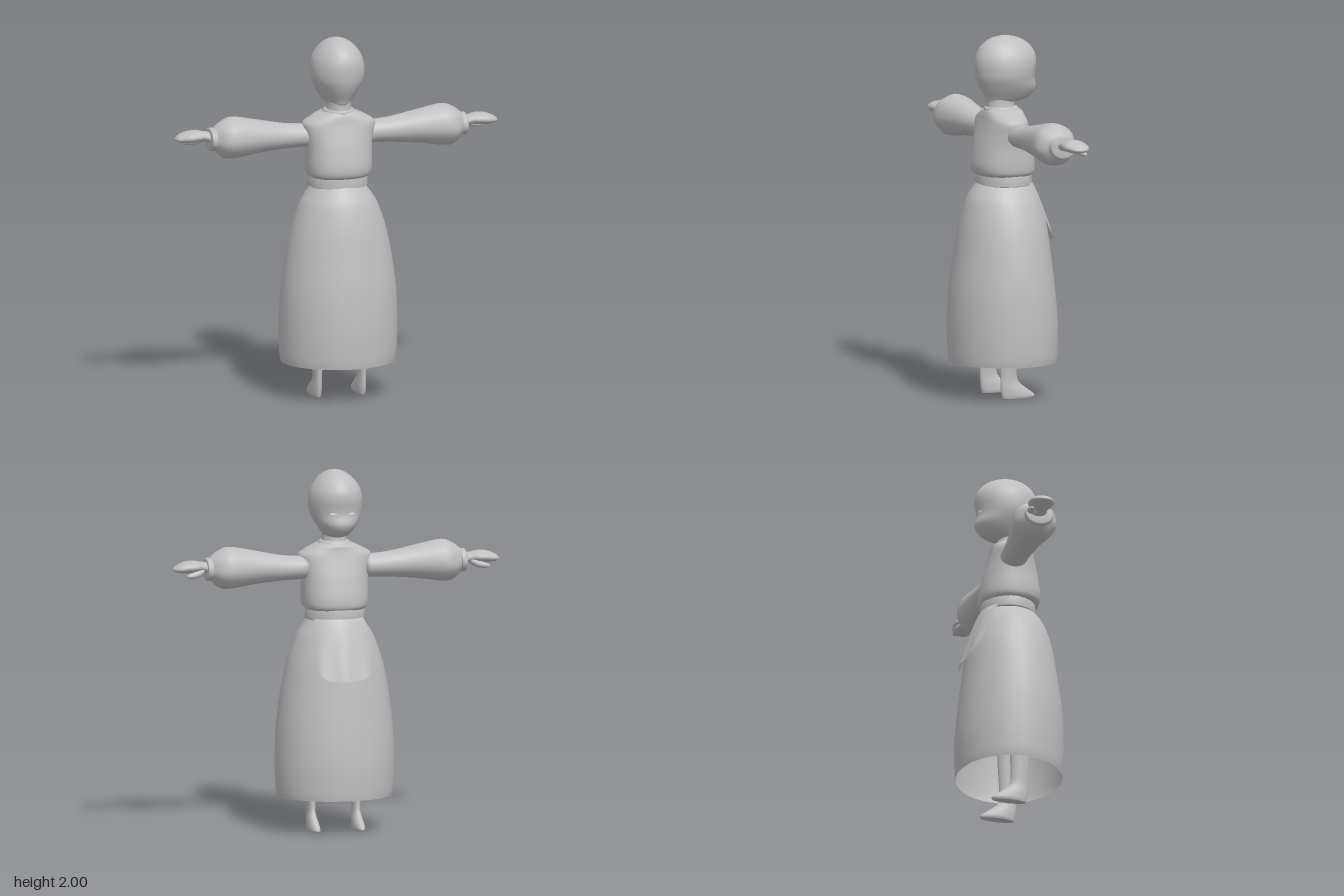
import * as THREE from 'three';

// Double-sided because the skirt and apron are open cloth
const grey = new THREE.MeshStandardMaterial({ color: 0xc0c0c0, side: THREE.DoubleSide });
grey.name = 'plain grey';
const pale = new THREE.MeshStandardMaterial({ color: 0xf0f0f0 });
pale.name = 'pale eye';

// Catmull-Rom blend between cross-section rows
function smoothRows(rows, steps) {
  const out = [];
  for (let i = 0; i < rows.length - 1; i++) {
    const p0 = rows[Math.max(i - 1, 0)], p1 = rows[i], p2 = rows[i + 1];
    const p3 = rows[Math.min(i + 2, rows.length - 1)];
    for (let s = 0; s < steps; s++) {
      const t = s / steps;
      out.push(p1.map((b, k) => {
        const slope = p2[k] - p0[k];
        const quad = 2 * p0[k] - 5 * b + 4 * p2[k] - p3[k];
        const cubic = 3 * b - p0[k] - 3 * p2[k] + p3[k];
        return b + 0.5 * t * (slope + t * (quad + t * cubic));
      }));
    }
  }
  out.push(rows[rows.length - 1]);
  return out;
}

// Loft of oval sections. Row: [position on axis, min, max, zMin, zMax]; min/max is x (axis y) or y (axis x)
function loft(name, axis, rows, { steps = 4, side = 1, power = 2, open = false, folds = 0 } = {}) {
  const n = 32, pos = [], idx = [];
  const rings = smoothRows(rows, steps);
  const put = (t, a, z) => (axis === 'y' ? pos.push(a, t, z) : pos.push(side * t, a, z));
  const curve = v => Math.sign(v) * Math.abs(v) ** (2 / power);
  rings.forEach(([t, a0, a1, z0, z1], i) => {
    const swell = folds * Math.sin(Math.PI * (i / (rings.length - 1)) ** 2);
    for (let j = 0; j < n; j++) {
      const w = j / n * Math.PI * 2, k = 1 + swell * Math.cos(w * 7);
      put(t, (a0 + a1) / 2 + (a1 - a0) / 2 * curve(Math.cos(w)) * k,
        (z0 + z1) / 2 + (z1 - z0) / 2 * curve(Math.sin(w)) * k);
    }
  });
  const flip = (axis === 'y') !== (side < 0);
  const tri = (a, b, c) => (flip ? idx.push(a, c, b) : idx.push(a, b, c));
  for (let i = 0; i < rings.length - 1; i++) {
    for (let j = 0; j < n; j++) {
      const a = i * n + j, b = i * n + (j + 1) % n;
      tri(a, b, a + n);
      tri(b, b + n, a + n);
    }
  }
  if (!open) {
    for (const [i, end] of [[0, false], [rings.length - 1, true]]) {
      const r = rings[i], c = pos.length / 3;
      put(r[0], (r[1] + r[2]) / 2, (r[3] + r[4]) / 2);
      for (let j = 0; j < n; j++) {
        const a = i * n + j, b = i * n + (j + 1) % n;
        if (end) tri(a, b, c); else tri(b, a, c);
      }
    }
  }
  const g = new THREE.BufferGeometry();
  g.setAttribute('position', new THREE.Float32BufferAttribute(pos, 3));
  g.setIndex(idx);
  g.computeVertexNormals();
  const m = new THREE.Mesh(g, grey);
  m.name = name;
  return m;
}

// Row symmetric in x
const sym = rows => rows.map(([y, x, z0, z1]) => [y, -x, x, z0, z1]);

// Apron panel wrapped over the skirt front (the figure faces -z)
function makeApron() {
  const g = new THREE.PlaneGeometry(2, 1, 24, 16), p = g.attributes.position;
  for (let i = 0; i < p.count; i++) {
    const u = p.getX(i), v = 0.5 - p.getY(i);
    const k = v * (1 - 0.38 * Math.abs(u) ** 4);
    const angle = u * (0.93 - 0.25 * v);
    const fold = 0.005 * Math.cos(u * 9) * v;
    p.setXYZ(i, (0.165 + 0.14 * k ** 0.7) * Math.sin(angle), 1.19 - 0.335 * k,
      -(0.157 + 0.12 * k ** 0.8 + fold) * Math.cos(angle));
  }
  // The panel is turned to face -z, so reverse its corners
  g.setIndex(Array.from(g.index.array).reverse());
  g.computeVertexNormals();
  const m = new THREE.Mesh(g, grey);
  m.name = 'apron';
  return m;
}

export function createModel() {
  const model = new THREE.Group();
  model.name = 'dressedFigure';

  // Head and neck
  model.add(loft('head', 'y', sym([
    [1.632, 0.045, -0.09, 0.085], [1.642, 0.064, -0.13, 0.097], [1.665, 0.085, -0.168, 0.106],
    [1.71, 0.115, -0.194, 0.13], [1.76, 0.138, -0.182, 0.15], [1.80, 0.147, -0.184, 0.157],
    [1.85, 0.147, -0.192, 0.16], [1.90, 0.134, -0.185, 0.15], [1.95, 0.1, -0.15, 0.12],
    [1.985, 0.056, -0.09, 0.07], [2, 0.008, -0.02, 0.005]])));
  model.add(loft('neck', 'y', sym([
    [1.56, 0.08, -0.08, 0.098], [1.6, 0.07, -0.068, 0.094],
    [1.64, 0.065, -0.064, 0.093], [1.69, 0.07, -0.08, 0.1]])));
  for (const s of [1, -1]) {
    const eye = new THREE.Mesh(new THREE.CircleGeometry(1, 16), pale);
    eye.name = s < 0 ? 'leftEye' : 'rightEye';
    eye.scale.set(0.021, 0.006, 1);
    eye.position.set(s * 0.052, 1.775, -0.176);
    eye.rotation.y = Math.PI - s * 0.42;
    model.add(eye);
  }

  // Bodice, collar and waistband
  model.add(loft('bodice', 'y', sym([
    [1.232, 0.16, -0.15, 0.145], [1.25, 0.177, -0.164, 0.163], [1.3, 0.184, -0.164, 0.169],
    [1.4, 0.186, -0.145, 0.152], [1.47, 0.196, -0.126, 0.135], [1.53, 0.204, -0.11, 0.12],
    [1.56, 0.165, -0.104, 0.115], [1.585, 0.115, -0.1, 0.108], [1.597, 0.08, -0.08, 0.1]]), { power: 2.4 }));
  model.add(loft('collar', 'y', sym([
    [1.565, 0.088, -0.098, 0.105], [1.585, 0.09, -0.099, 0.107],
    [1.603, 0.084, -0.085, 0.104], [1.608, 0.074, -0.072, 0.097]]), { steps: 2 }));
  model.add(loft('waistband', 'y', sym([
    [1.175, 0.158, -0.152, 0.142], [1.18, 0.167, -0.16, 0.147],
    [1.235, 0.163, -0.157, 0.145], [1.242, 0.155, -0.15, 0.14]]), { steps: 1 }));

  // Open-bottomed skirt with apron
  model.add(loft('skirt', 'y', sym([
    [0.195, 0.318, -0.292, 0.292], [0.25, 0.326, -0.297, 0.298], [0.4, 0.33, -0.299, 0.302],
    [0.6, 0.322, -0.282, 0.292], [0.8, 0.295, -0.258, 0.265], [0.95, 0.262, -0.238, 0.242],
    [1.07, 0.22, -0.205, 0.212], [1.13, 0.185, -0.18, 0.185], [1.19, 0.14, -0.148, 0.143]]), { open: true }));
  model.add(makeApron());

  for (const s of [1, -1]) {
    const arm = new THREE.Group(), leg = new THREE.Group();
    arm.name = s < 0 ? 'leftArm' : 'rightArm';
    leg.name = s < 0 ? 'leftLeg' : 'rightLeg';

    // Puffed sleeve, cuff, hand and thumb
    arm.add(loft('sleeve', 'x', [
      [0.16, 1.4, 1.525, -0.088, 0.058], [0.3, 1.395, 1.535, -0.095, 0.064],
      [0.465, 1.38, 1.567, -0.112, 0.086], [0.6, 1.36, 1.59, -0.133, 0.108],
      [0.66, 1.367, 1.572, -0.12, 0.098], [0.7, 1.4, 1.545, -0.09, 0.065],
      [0.715, 1.42, 1.53, -0.07, 0.05]], { side: s, folds: 0.02 }));
    arm.add(loft('cuff', 'x', [
      [0.702, 1.415, 1.528, -0.088, 0.058], [0.707, 1.408, 1.535, -0.095, 0.065],
      [0.731, 1.408, 1.535, -0.095, 0.065], [0.737, 1.418, 1.525, -0.086, 0.056]], { side: s, steps: 1 }));
    arm.add(loft('hand', 'x', [
      [0.72, 1.445, 1.512, -0.07, 0.025], [0.765, 1.463, 1.517, -0.08, 0.025],
      [0.8, 1.46, 1.524, -0.098, 0.035], [0.85, 1.457, 1.522, -0.098, 0.04],
      [0.89, 1.46, 1.508, -0.09, 0.022], [0.914, 1.466, 1.494, -0.07, 0.003],
      [0.924, 1.475, 1.482, -0.05, -0.02]], { side: s }));
    arm.add(loft('thumb', 'x', [
      [0.755, 1.455, 1.485, -0.075, -0.035], [0.79, 1.437, 1.475, -0.1, -0.055],
      [0.835, 1.432, 1.462, -0.103, -0.068], [0.86, 1.439, 1.45, -0.094, -0.08]], { side: s }));

    // Slim leg running into a pointed shoe
    const legRows = [
      [0, 0.026, -0.125, 0.062], [0.012, 0.03, -0.132, 0.066], [0.03, 0.03, -0.115, 0.07],
      [0.055, 0.028, -0.08, 0.073], [0.085, 0.024, -0.042, 0.075], [0.12, 0.023, -0.024, 0.076],
      [0.2, 0.028, -0.022, 0.08], [0.35, 0.036, -0.03, 0.088], [0.6, 0.05, -0.04, 0.085],
      [0.95, 0.07, -0.065, 0.08]];
    leg.add(loft('legAndFoot', 'y',
      legRows.map(([y, r, z0, z1]) => [y, s * 0.127 - r, s * 0.127 + r, z0, z1])));
    model.add(arm, leg);
  }
  return model;
}
